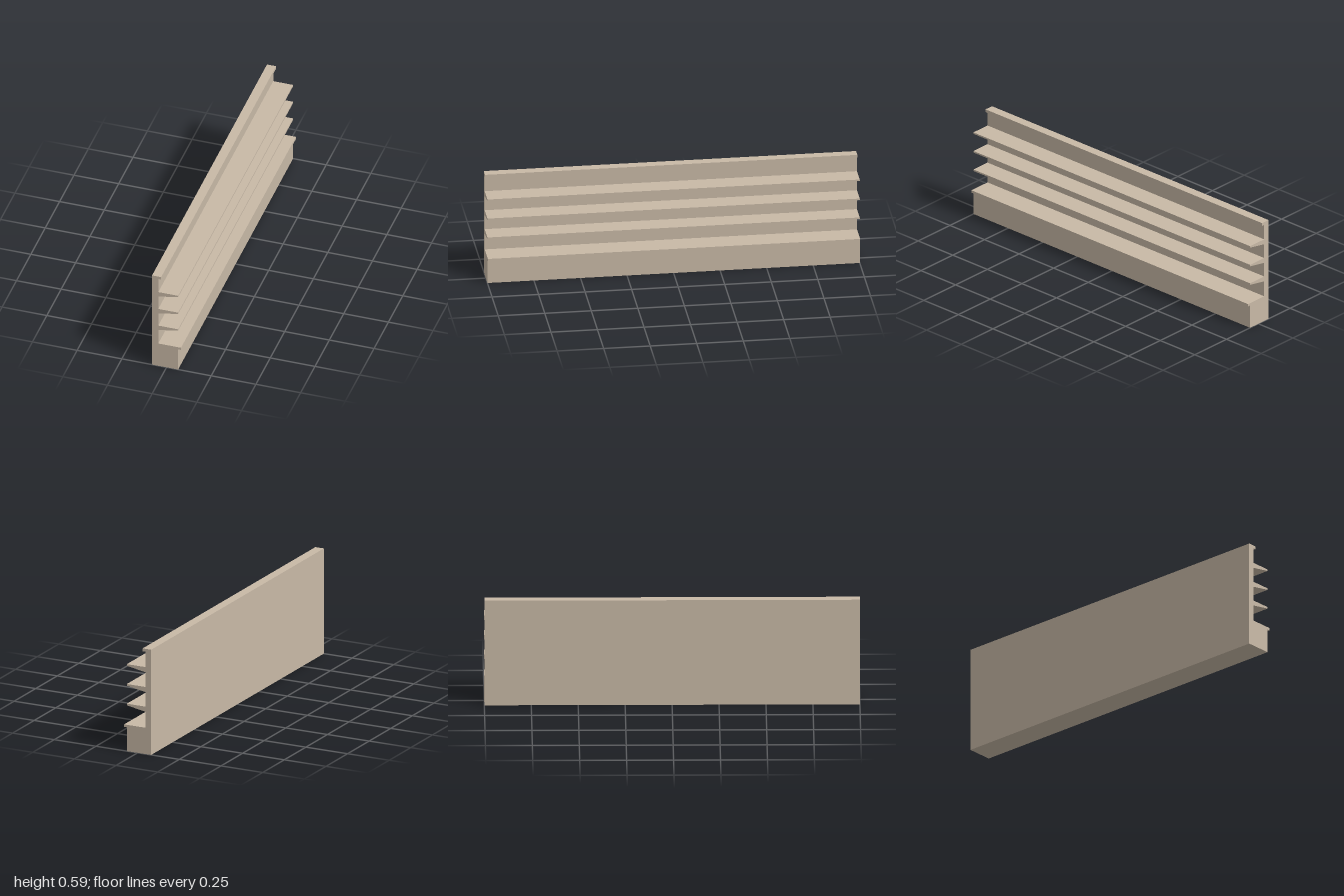
import * as THREE from 'three';

export function createModel() {
  const group = new THREE.Group();
  group.name = 'wallShelfRack';
  const beige = new THREE.MeshStandardMaterial({ color: 0xc8b9a6 });
  beige.name = 'beige';

  const length = 2;
  const back = -0.081, wall = -0.046, front = 0.065, height = 0.588;

  // Cross-section, counter-clockwise from the bottom back corner
  const points = [
    [back, 0], [front, 0],
    // base with its overhanging ledge
    [front, 0.133], [0.081, 0.133], [0.081, 0.147], [wall, 0.147],
  ];
  // three tapered shelves
  for (const top of [0.265, 0.375, 0.486]) {
    points.push([wall, top - 0.029], [front, top - 0.009], [front, top], [wall, top]);
  }
  // small lip on the top edge
  points.push([wall, 0.572], [-0.03, 0.572], [-0.03, height], [back, height]);

  const shape = new THREE.Shape(points.map(([x, y]) => new THREE.Vector2(x, y)));
  const geometry = new THREE.ExtrudeGeometry(shape, { depth: length, bevelEnabled: false });
  geometry.translate(0, 0, -length / 2);

  // One continuous piece: back panel, base, shelves and lip
  const rack = new THREE.Mesh(geometry, beige);
  rack.name = 'shelfRackBody';
  group.add(rack);
  return group;
}
